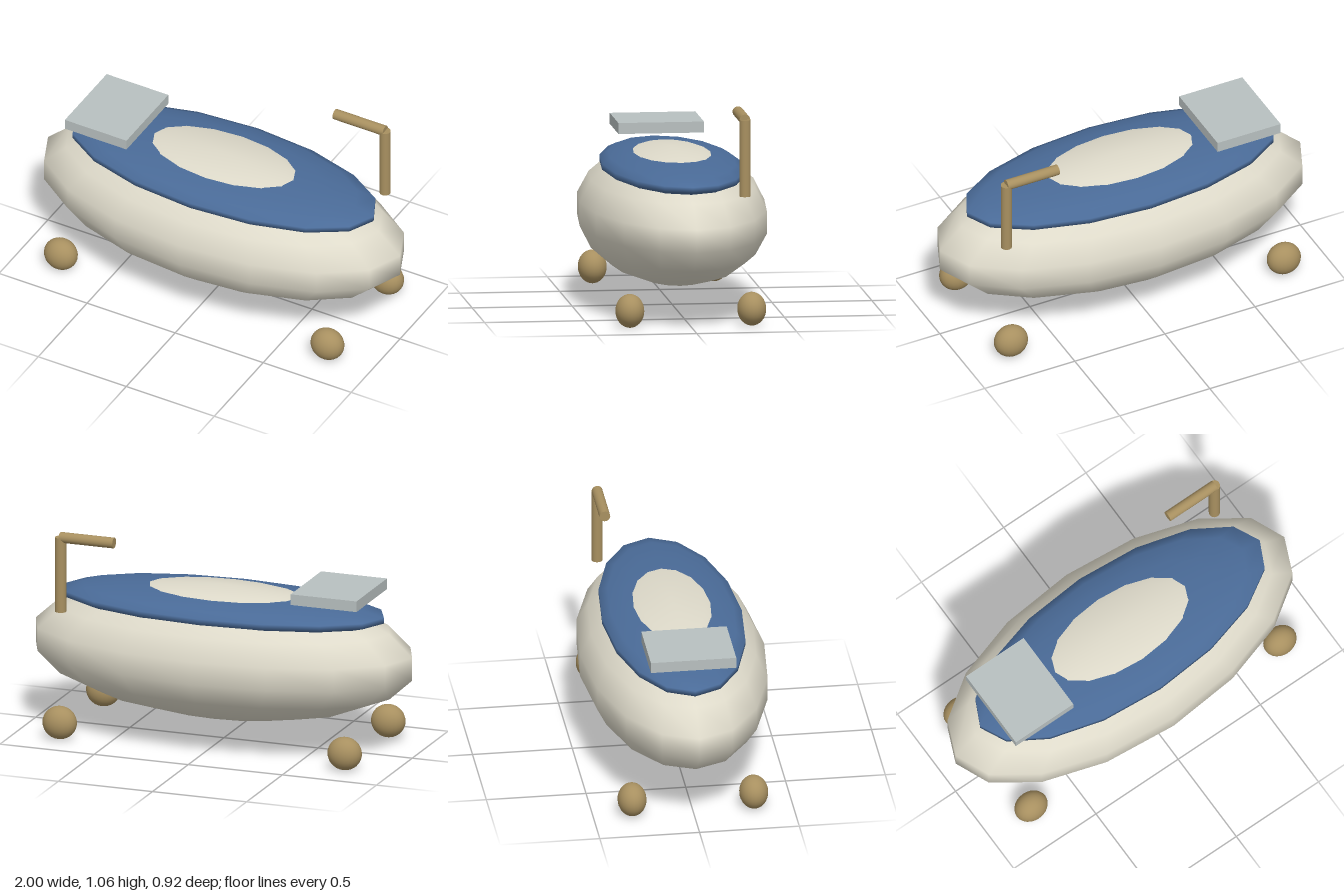
import * as THREE from 'three';

const material = (color) => new THREE.MeshStandardMaterial({ color });

export function createModel() {
  const model = new THREE.Group();
  const cream = material(0xdedaca);
  const blue = material(0x4a6b98);
  const brass = material(0xa89060);
  const slate = material(0xb8c0c0);

  const add = (name, geometry, mat, x, y, z) => {
    const mesh = new THREE.Mesh(geometry, mat);
    mesh.name = name;
    mesh.position.set(x, y, z);
    model.add(mesh);
    return mesh;
  };

  // Squashed sphere with given radii and facet counts
  const ellipsoid = (rx, ry, rz, around, rows) =>
    new THREE.SphereGeometry(1, around, rows).scale(rx, ry, rz);

  // Tub body and the flat rim ring; the crown of the body shows through the rim
  add('tubBody', ellipsoid(1.015, 0.337, 0.469, 16, 9), cream, 0, 0.461, 0);
  add('tubRim', ellipsoid(0.863, 0.082, 0.355, 16, 9), blue, 0, 0.697, 0);

  // Four ball feet
  for (const sx of [-1, 1]) {
    for (const sz of [-1, 1]) {
      const name = (sz > 0 ? 'front' : 'back') + (sx > 0 ? 'Left' : 'Right') + 'Foot';
      add(name, ellipsoid(0.088, 0.084, 0.072, 24, 16), brass, sx * 0.757, 0.085, sz * 0.305);
    }
  }

  // Tap: upright pipe with a level spout
  add('tapPipe', new THREE.CylinderGeometry(0.028, 0.028, 0.385, 20), brass, 0.765, 0.8425, -0.27);
  const spout = add('tapSpout', new THREE.CylinderGeometry(0.027, 0.027, 0.285, 20), brass, 0.6235, 1.034, -0.27);
  spout.rotation.z = Math.PI / 2;

  // Tray over the far end
  add('tray', new THREE.BoxGeometry(0.35, 0.055, 0.428), slate, -0.61, 0.8225, 0);

  return model;
}
